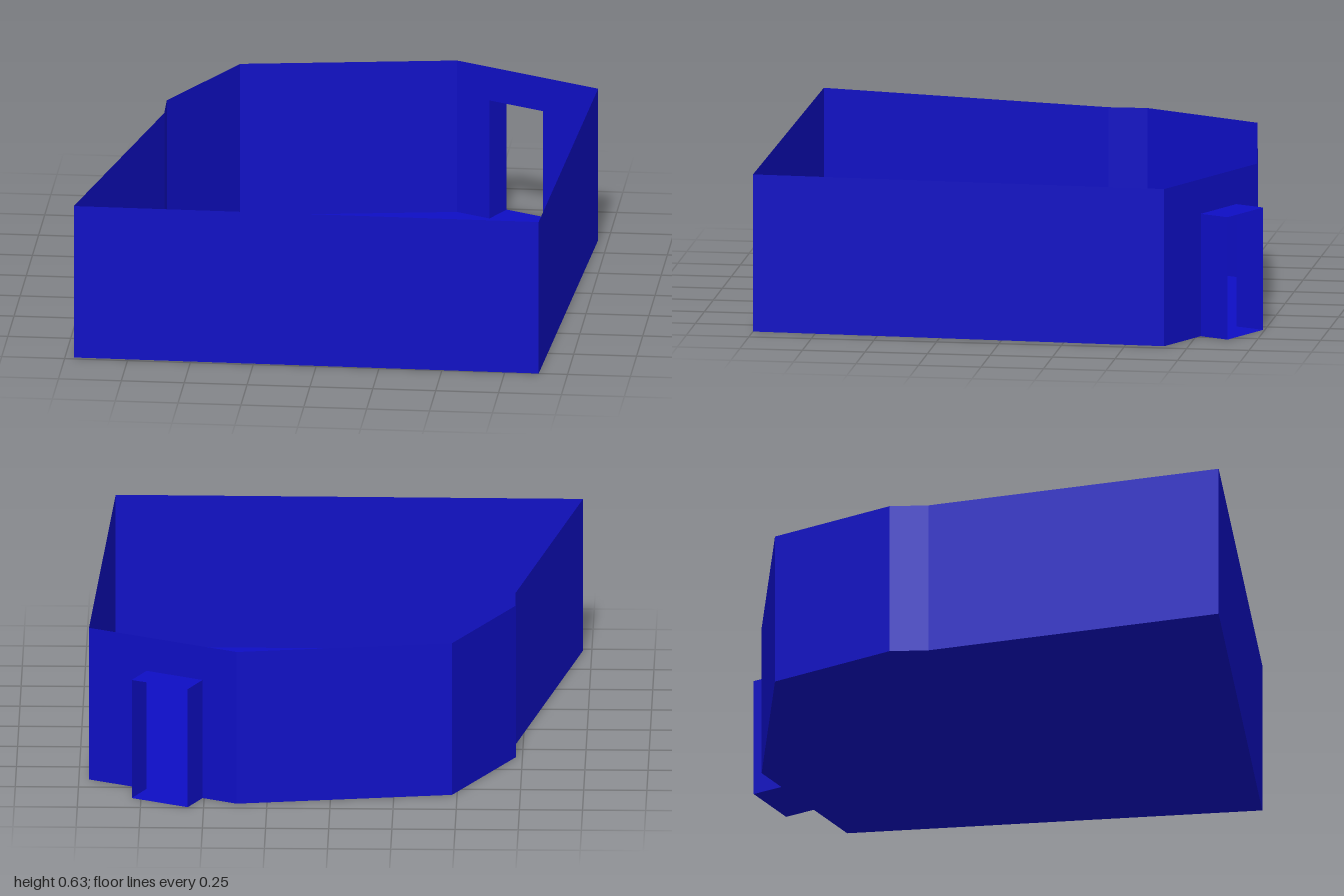
import * as THREE from 'three';

const HEIGHT = 0.633, DOOR_HEIGHT = 0.493, DOOR_DEPTH = 0.128;

// Room corners seen from above, as (x, z)
const CORNERS = [
  [-0.965, 0.983], [0.885, 1], [0.96, -0.655], [0.37, -0.945],
  [-0.48, -0.82], [-0.725, -0.345], [-0.72, -0.19],
].map(([x, z]) => new THREE.Vector2(x, z));
const DOOR_WALL = 2;

export function createModel() {
  const group = new THREE.Group();
  const blue = new THREE.MeshStandardMaterial({ color: 0x0e0ec4, side: THREE.DoubleSide });
  blue.name = 'blue';

  const add = (name, geometry) => {
    const mesh = new THREE.Mesh(geometry, blue);
    mesh.name = name;
    group.add(mesh);
  };

  // Thin upright sheet from a to b, with an optional doorway notch [start, end]
  const wall = (name, a, b, height, door) => {
    const length = a.distanceTo(b);
    const outline = [[0, 0]];
    if (door) outline.push([door[0], 0], [door[0], DOOR_HEIGHT], [door[1], DOOR_HEIGHT], [door[1], 0]);
    outline.push([length, 0], [length, height], [0, height]);
    const geometry = new THREE.ShapeGeometry(new THREE.Shape(outline.map(p => new THREE.Vector2(...p))));
    geometry.rotateY(-Math.atan2(b.y - a.y, b.x - a.x));
    geometry.translate(a.x, 0, a.y);
    add(name, geometry);
  };

  // Thin level sheet through (x, z) points
  const slab = (name, points, y) => {
    const geometry = new THREE.ShapeGeometry(new THREE.Shape(points.map(p => new THREE.Vector2(p.x, -p.y))));
    geometry.rotateX(-Math.PI / 2);
    geometry.translate(0, y, 0);
    add(name, geometry);
  };

  // Doorway position along its wall
  const a = CORNERS[DOOR_WALL], b = CORNERS[DOOR_WALL + 1];
  const length = a.distanceTo(b);
  const along = b.clone().sub(a).normalize();
  const outward = new THREE.Vector2(-along.y, along.x).multiplyScalar(DOOR_DEPTH);
  const door = [length * 0.39, length * 0.769];

  // Room
  slab('floor', CORNERS, 0);
  CORNERS.forEach((p, i) => wall(
    i === DOOR_WALL ? 'doorwayWall' : 'wall' + (i + 1),
    p, CORNERS[(i + 1) % CORNERS.length], HEIGHT, i === DOOR_WALL ? door : null));

  // Open-ended passage outside the doorway
  const [innerA, innerB] = door.map(d => a.clone().addScaledVector(along, d));
  const outerA = innerA.clone().add(outward), outerB = innerB.clone().add(outward);
  wall('passageLeftSide', innerA, outerA, DOOR_HEIGHT);
  wall('passageRightSide', innerB, outerB, DOOR_HEIGHT);
  const passage = [innerA, outerA, outerB, innerB];
  slab('passageFloor', passage, 0);
  slab('passageCeiling', passage, DOOR_HEIGHT);

  return group;
}
